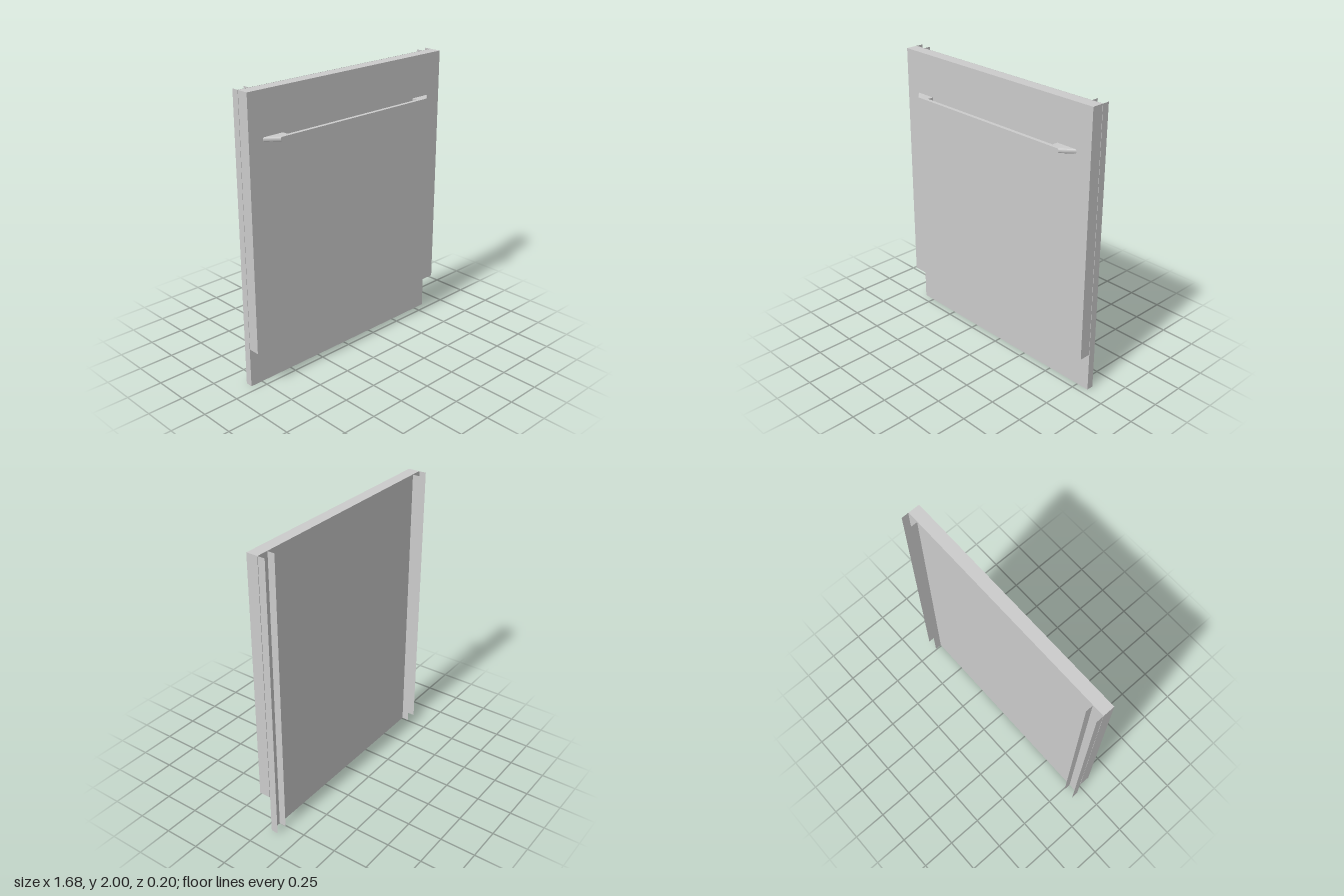
import * as THREE from 'three';
import { toCreasedNormals } from 'three/addons/utils/BufferGeometryUtils.js';

const grey = new THREE.MeshStandardMaterial({ color: 0xcccccc });
const sheet = new THREE.MeshStandardMaterial({ color: 0xcccccc, side: THREE.DoubleSide });

const HALF = 0.84, HEIGHT = 2, DOOR_BOTTOM = 0.28;
const DOOR_FRONT = 0.034, DOOR_BACK = -0.047, PANEL_Z = -0.05, FLANGE_Z = -0.1;
const INNER = 0.757;
const BAR_BOTTOM = 1.68, BAR_TOP = 1.709, BAR_FRONT = 0.102;

function add(parent, name, geometry, material = grey) {
  const mesh = new THREE.Mesh(geometry, material);
  mesh.name = name;
  parent.add(mesh);
  return mesh;
}

// Box given by its minimum and maximum corners
function boxBetween(x0, y0, z0, x1, y1, z1) {
  return new THREE.BoxGeometry(x1 - x0, y1 - y0, z1 - z0)
    .translate((x0 + x1) / 2, (y0 + y1) / 2, (z0 + z1) / 2);
}

// Handle foot: rounded at its outer end, which slopes inward towards the front
function footGeometry(side) {
  const inner = 0.577, outer = 0.73, r = 0.012;
  const shape = new THREE.Shape();
  shape.moveTo(side * inner, BAR_BOTTOM);
  shape.lineTo(side * (outer - r), BAR_BOTTOM);
  shape.quadraticCurveTo(side * outer, BAR_BOTTOM, side * outer, BAR_BOTTOM + r);
  shape.lineTo(side * outer, BAR_TOP - r);
  shape.quadraticCurveTo(side * outer, BAR_TOP, side * (outer - r), BAR_TOP);
  shape.lineTo(side * inner, BAR_TOP);
  shape.closePath();
  const geo = new THREE.ExtrudeGeometry(shape, {
    depth: BAR_FRONT - DOOR_FRONT, bevelEnabled: false, curveSegments: 5,
  });
  const p = geo.attributes.position;
  for (let i = 0; i < p.count; i++) {
    if (Math.abs(p.getX(i)) > 0.65 && p.getZ(i) > 0.01) p.setX(i, p.getX(i) - side * 0.08);
  }
  geo.translate(0, 0, DOOR_FRONT);
  return toCreasedNormals(geo, 0.6);
}

export function createModel() {
  const model = new THREE.Group();
  model.name = 'appliancePanel';

  // Front door slab
  add(model, 'door', boxBetween(-HALF, DOOR_BOTTOM, DOOR_BACK, HALF, HEIGHT, DOOR_FRONT));

  // Thin rear sheet running down to the floor as the kick plate
  add(model, 'backPanel', new THREE.PlaneGeometry(2 * INNER, HEIGHT)
    .translate(0, HEIGHT / 2, PANEL_Z), sheet);

  // Open U channels along both sides of the back
  for (const side of [-1, 1]) {
    const channel = new THREE.Group();
    channel.name = side > 0 ? 'leftChannel' : 'rightChannel';
    model.add(channel);
    add(channel, 'channelWeb', new THREE.PlaneGeometry(HALF - INNER, HEIGHT)
      .translate(side * (HALF + INNER) / 2, HEIGHT / 2, PANEL_Z), sheet);
    for (const [name, x] of [['outerFlange', HALF], ['innerFlange', INNER]]) {
      add(channel, name, new THREE.PlaneGeometry(PANEL_Z - FLANGE_Z, HEIGHT)
        .rotateY(side * Math.PI / 2)
        .translate(side * x, HEIGHT / 2, (PANEL_Z + FLANGE_Z) / 2), sheet);
    }
  }

  // Handle: a slim bar between two sloping feet
  const handle = new THREE.Group();
  handle.name = 'handle';
  handle.position.x = -0.003;
  model.add(handle);
  add(handle, 'handleBar', boxBetween(-0.577, BAR_BOTTOM, 0.076, 0.577, BAR_TOP, BAR_FRONT));
  add(handle, 'leftHandleFoot', footGeometry(1));
  add(handle, 'rightHandleFoot', footGeometry(-1));

  return model;
}
